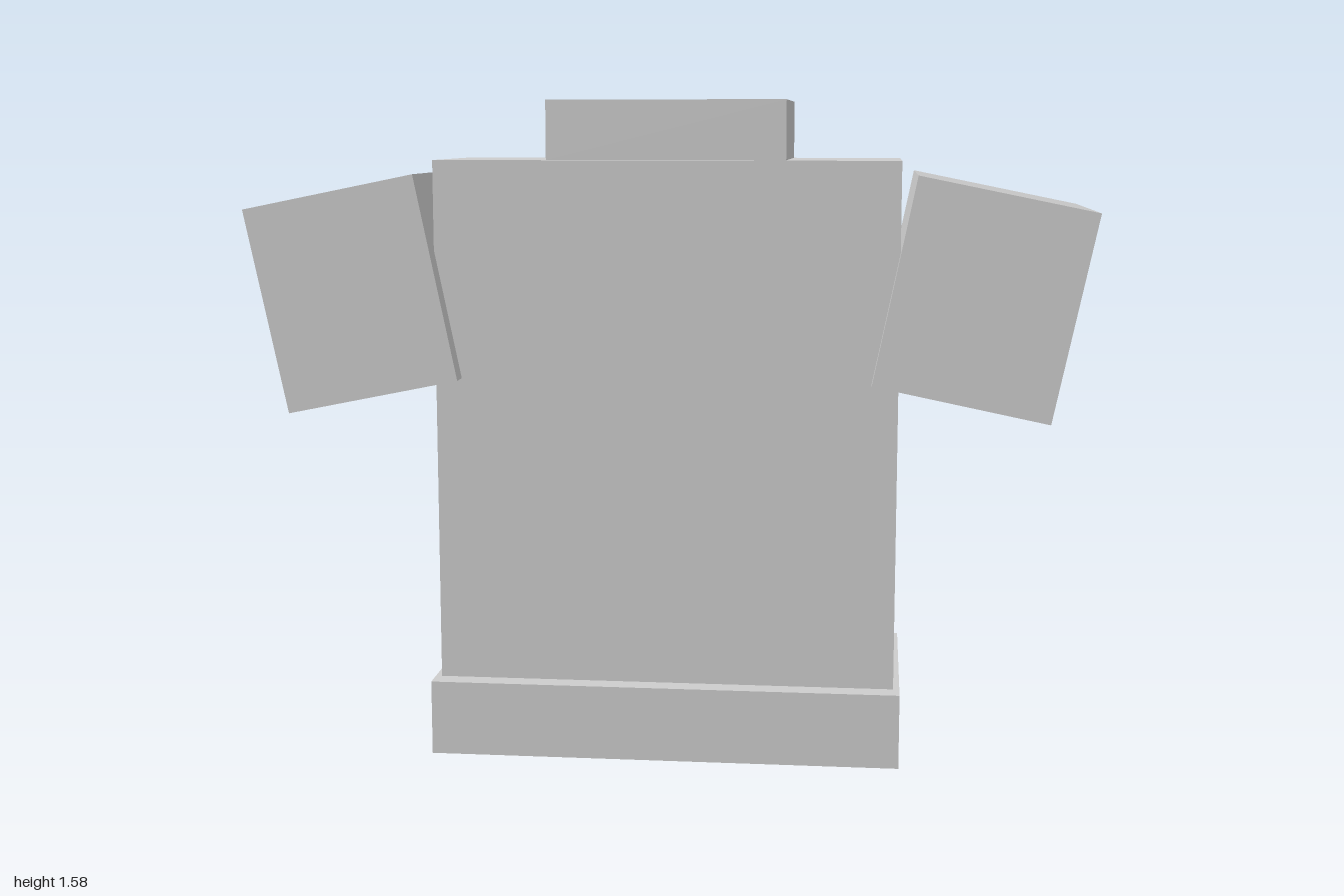
import * as THREE from 'three';

export function createModel() {
  const model = new THREE.Group();
  const grey = new THREE.MeshStandardMaterial({ color: 0xcccccc });
  grey.name = 'light grey';

  // Box given by its size and centre
  function box(name, size, centre, tilt = 0) {
    const mesh = new THREE.Mesh(new THREE.BoxGeometry(...size), grey);
    mesh.name = name;
    mesh.position.set(...centre);
    mesh.rotation.z = tilt;
    model.add(mesh);
  }

  // Body: hem, torso and collar stacked upwards
  box('hem', [1.13, 0.18, 0.565], [0, 0.09, 0.063]);
  box('torso', [1.1, 1.255, 0.46], [0, 0.807, 0.065]);
  box('collar', [0.565, 0.14, 0.423], [0, 1.505, 0.063]);

  // Short sleeves, tilted outwards
  for (const [name, side] of [['leftSleeve', 1], ['rightSleeve', -1]]) {
    box(name, [0.42, 0.495, 0.565], [side * 0.743, 1.118, 0.063], side * -0.201);
    model.children.at(-1).rotation.z = side * 0.201 * -1;
  }

  // Diamond set into the back: a stretched octahedron
  const diamond = new THREE.OctahedronGeometry(1);
  diamond.scale(0.315, 0.457, 0.127);
  diamond.computeVertexNormals();
  const gem = new THREE.Mesh(diamond, grey);
  gem.name = 'backDiamond';
  gem.position.set(0, 0.907, -0.218);
  model.add(gem);

  return model;
}
